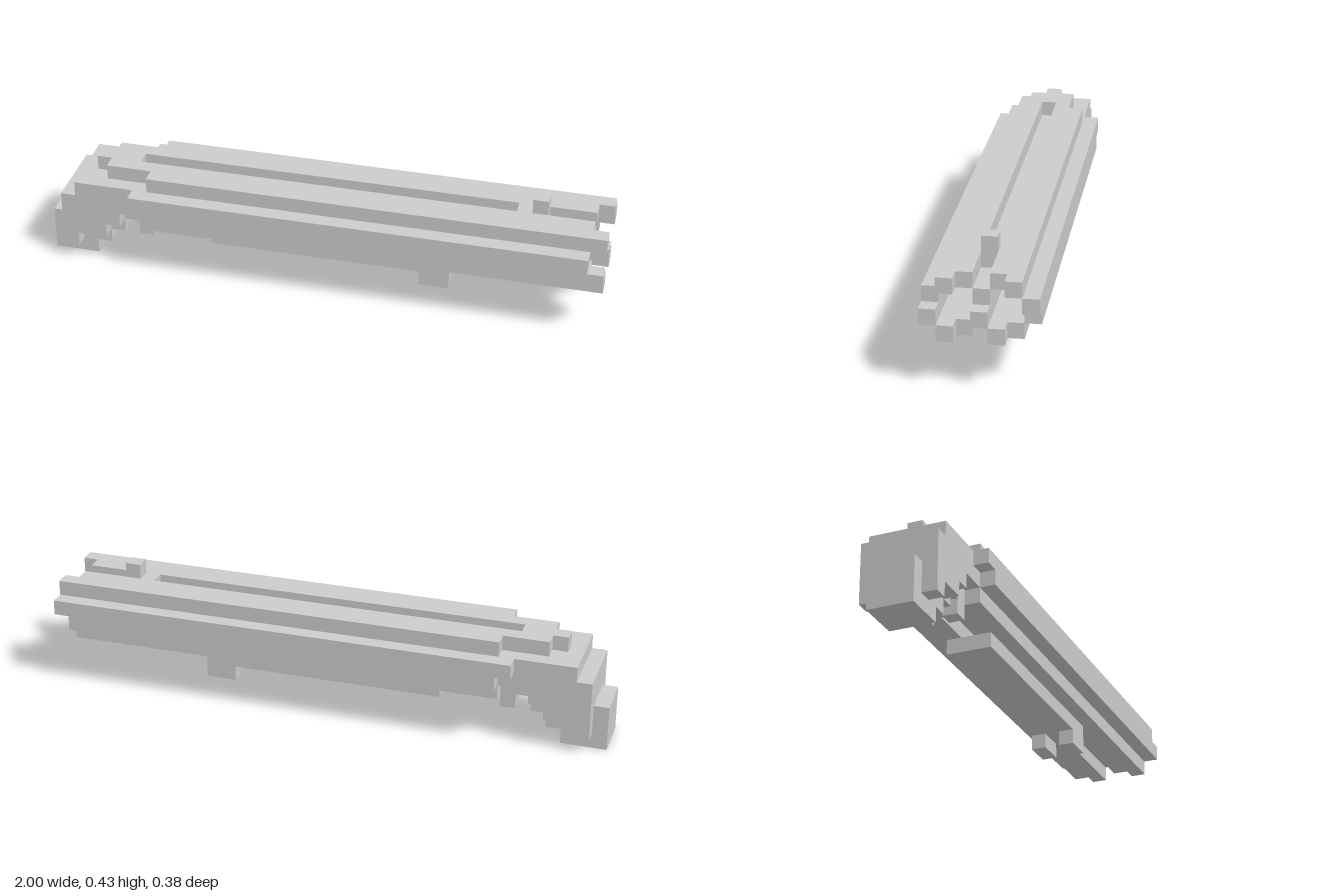
import * as THREE from 'three';

const U = 2 / 37; // edge of one block

export function createModel() {
  const model = new THREE.Group();
  const material = new THREE.MeshStandardMaterial({ color: 0xcccccc, flatShading: true });

  const part = (name) => {
    const g = new THREE.Group();
    g.name = name;
    model.add(g);
    return g;
  };
  // Box over block ranges: x and y as [start, end), z as inclusive block columns around 0
  const block = (group, x0, x1, y0, y1, z0, z1) => {
    const geo = new THREE.BoxGeometry((x1 - x0) * U, (y1 - y0) * U, (z1 - z0 + 1) * U);
    const mesh = new THREE.Mesh(geo, material);
    mesh.name = group.name + 'Block';
    mesh.position.set(((x0 + x1) / 2 - 18.5) * U, ((y0 + y1) / 2) * U, ((z0 + z1) / 2) * U);
    group.add(mesh);
  };
  const centred = (group, x0, x1, y0, y1, half) => block(group, x0, x1, y0, y1, -half, half);
  const onSide = (group, s, x0, x1, y0, y1, a, b) =>
    block(group, x0, x1, y0, y1, Math.min(s * a, s * b), Math.max(s * a, s * b));

  // Stepped grip: a narrow core with wider cheeks
  const grip = part('grip');
  centred(grip, 0, 3, 0, 1, 1);
  centred(grip, 0, 1, 1, 3, 1);
  centred(grip, 1, 4, 1, 2, 1);
  centred(grip, 1, 5, 2, 3, 1);
  centred(grip, 1, 2, 1, 5, 2);
  centred(grip, 2, 4, 2, 3, 2);
  centred(grip, 2, 5, 3, 4, 2);

  // Receiver joining grip and barrels
  const receiver = part('receiver');
  centred(receiver, 2, 8, 4, 6, 2);
  centred(receiver, 5, 8, 3, 4, 1);
  centred(receiver, 3, 4, 6, 7, 0);
  centred(receiver, 4, 6, 6, 7, 1);
  for (const s of [1, -1]) {
    onSide(receiver, s, 6, 7, 6, 7, 1, 1);
    onSide(receiver, s, 6, 7, 5, 6, 3, 3);
  }

  // Twin hollow barrels, each with a top, outer and bottom wall
  for (const s of [1, -1]) {
    const barrel = part(s > 0 ? 'leftBarrel' : 'rightBarrel');
    onSide(barrel, s, 7, 36, 6, 7, 1, 2);
    onSide(barrel, s, 7, 36, 4, 6, 3, 3);
    onSide(barrel, s, 7, 36, 3, 4, 1, 2);
  }

  // Rib between the barrels
  const rib = part('centreRib');
  centred(rib, 6, 36, 5, 6, 0);
  centred(rib, 6, 37, 4, 5, 0);

  // Ragged muzzle: single blocks [z, y] on the last layer
  const muzzle = part('muzzleTeeth');
  for (const [z, y] of [[2, 6], [3, 4], [2, 3], [-2, 6], [-3, 5], [-1, 3]])
    block(muzzle, 36, 37, y, y + 1, z, z);

  // Front sight on its base
  const sight = part('frontSight');
  centred(sight, 31, 33, 6, 7, 0);
  centred(sight, 32, 33, 7, 8, 0);

  // Foregrip with two lugs under its front end, and twin triggers
  const foregrip = part('foregrip');
  centred(foregrip, 11, 27, 2, 3, 1);
  const triggers = part('triggers');
  for (const s of [1, -1]) {
    onSide(foregrip, s, 25, 27, 1, 2, 1, 1);
    onSide(triggers, s, 6, 7, 2, 3, 1, 1);
  }

  return model;
}
